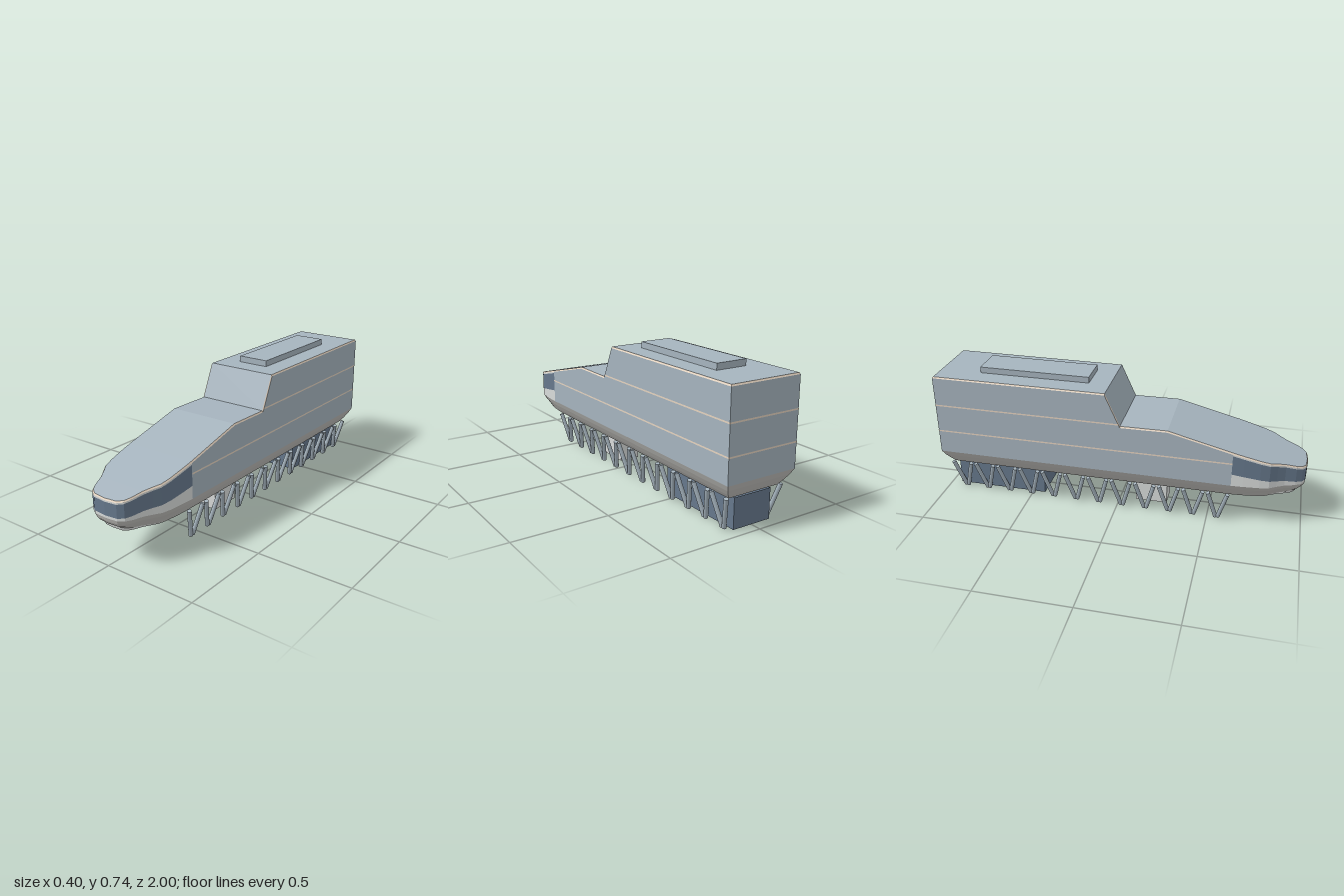
import * as THREE from 'three';

const mat = (name, color, side = THREE.FrontSide) => {
  const m = new THREE.MeshStandardMaterial({ color, side });
  m.name = name;
  return m;
};

// Flat-faced band between a lower and an upper row of points, listed left to right as seen from outside
function ribbon(lower, upper, closed = false) {
  const pos = [];
  const n = lower.length;
  for (let i = 0; i < (closed ? n : n - 1); i++) {
    const j = (i + 1) % n;
    pos.push(...lower[i], ...lower[j], ...upper[j], ...lower[i], ...upper[j], ...upper[i]);
  }
  const g = new THREE.BufferGeometry();
  g.setAttribute('position', new THREE.Float32BufferAttribute(pos, 3));
  g.computeVertexNormals();
  return g;
}

// Half plan outline [x, z], from the nose to the back
const HALF = [[0, 1], [0.07, 0.994], [0.1, 0.975], [0.117, 0.945], [0.135, 0.89], [0.157, 0.85], [0.18, 0.813],
  [0.19, 0.765], [0.197, 0.68], [0.2, 0.62], [0.2, 0.28], [0.2, 0.03], [0.2, -0.05], [0.2, -1]];
const NOSE_END = 9;

// Roof height along the length
const ROOF = [[1, 0.347], [0.28, 0.528], [0.03, 0.525], [-0.05, 0.702], [-1, 0.702]];
function roofY(z) {
  for (let i = 0; i < ROOF.length - 1; i++) {
    const [z0, y0] = ROOF[i], [z1, y1] = ROOF[i + 1];
    if (z >= z1) return y0 + (y1 - y0) * (z - z0) / (z1 - z0);
  }
  return 0.702;
}
const noseT = z => Math.max(0, (z - 0.62) / 0.38);

// One half ring of points at a height rule, drawn in by d at the sides and back and by f at the nose
const halfRing = (yAt, d = 0, f = 0) => HALF.map(([x, z]) =>
  [x * (0.2 - d) / 0.2, yAt(z), z === -1 ? z + d : z - f * noseT(z)]);
const flip = pts => pts.map(([x, y, z]) => [-x, y, z]);
const around = h => [...flip(h.slice(1)).reverse(), ...h];
const nosePart = h => around(h.slice(0, NOSE_END + 1));
const bodyPart = h => [...h.slice(NOSE_END), ...flip(h.slice(NOSE_END)).reverse()];

export function createModel() {
  const model = new THREE.Group();
  const body = mat('blue grey metal', 0xa6b4be);
  const glass = mat('dark blue', 0x66788c, THREE.DoubleSide);
  const pale = mat('pale grey', 0xd8dbda, THREE.DoubleSide);
  const hull = mat('warm grey', 0xbebdb9);
  const tan = mat('tan trim', 0xe4d3c0);

  const add = (name, geometry, material, parent = model) => {
    const m = new THREE.Mesh(geometry, material);
    m.name = name;
    parent.add(m);
    return m;
  };

  // Upper walls, nose window band and trim
  const foot = halfRing(() => 0.25);
  const sill = halfRing(z => 0.318 - 0.056 * noseT(z));
  const head = halfRing(z => roofY(z) - 0.016);
  const eave = halfRing(z => roofY(z) - 0.008);
  const edge = halfRing(roofY, 0.005, 0.005);
  add('bodyWalls', ribbon(bodyPart(foot), bodyPart(eave)), body);
  add('noseLowerWall', ribbon(nosePart(foot), nosePart(sill)), pale);
  add('noseWindow', ribbon(nosePart(sill), nosePart(head)), glass);
  add('noseFascia', ribbon(nosePart(head), nosePart(eave)), pale);
  add('roofTrim', ribbon(around(eave), around(edge), true), tan);
  add('roof', ribbon(edge, flip(edge)), body);

  // Rooftop plant box
  add('roofBox', new THREE.BoxGeometry(0.174, 0.034, 0.605), body).position.set(0, 0.718, -0.4645);

  // Curved skirt under the walls, lip and underside
  const rings = [
    foot,
    halfRing(z => 0.22 + 0.01 * noseT(z), 0.015, 0.006),
    halfRing(z => 0.19 + 0.022 * noseT(z), 0.034, 0.018),
    halfRing(z => 0.165 + 0.032 * noseT(z) ** 2, 0.053, 0.04),
  ];
  for (let i = 0; i < 3; i++) {
    add('skirt' + (i + 1), ribbon(around(rings[i + 1]), around(rings[i]), true), hull);
  }
  const lip = halfRing(z => 0.165 + 0.015 * noseT(z) ** 2, 0.053, 0.045);
  add('noseLip', ribbon(nosePart(lip), nosePart(rings[3])), pale);
  add('underside', ribbon(flip(lip), lip), hull);

  // Thin floor lines along the sides and back
  for (const [y, z] of [[0.535, 0.024], [0.38, 0.62]]) {
    const row = h => [[0.201, h, z], [0.201, h, -1.001], [-0.201, h, -1.001], [-0.201, h, z]];
    add('floorLine', ribbon(row(y - 0.004), row(y + 0.004)), tan);
  }

  // Ground-level cores: four walls, open below
  const core = (name, x, z0, z1, h, material) => {
    const row = y => [[-x, y, z1], [x, y, z1], [x, y, z0], [-x, y, z0]];
    add(name, ribbon(row(0), row(h), true), material);
  };
  core('rearCore', 0.109, -0.943, -0.432, 0.157, glass);
  core('frontCore', 0.058, 0.09, 0.265, 0.165, pale);

  // Rows of V-shaped columns on both sides
  const columns = new THREE.Group();
  columns.name = 'columns';
  model.add(columns);
  const up = new THREE.Vector3(0, 1, 0);
  for (const side of [-1, 1]) {
    for (let i = 0; i < 12; i++) {
      const z = 0.553 - i * 0.132;
      for (const lean of [-1, 1]) {
        const a = new THREE.Vector3(side * 0.131, 0.003, z + lean * 0.006);
        const b = new THREE.Vector3(side * 0.164, 0.168, z + lean * 0.052);
        const dir = b.clone().sub(a);
        const c = add('column', new THREE.CylinderGeometry(0.0115, 0.0115, dir.length(), 12), body, columns);
        c.position.copy(a).add(b).multiplyScalar(0.5);
        c.quaternion.setFromUnitVectors(up, dir.normalize());
      }
    }
  }
  return model;
}
